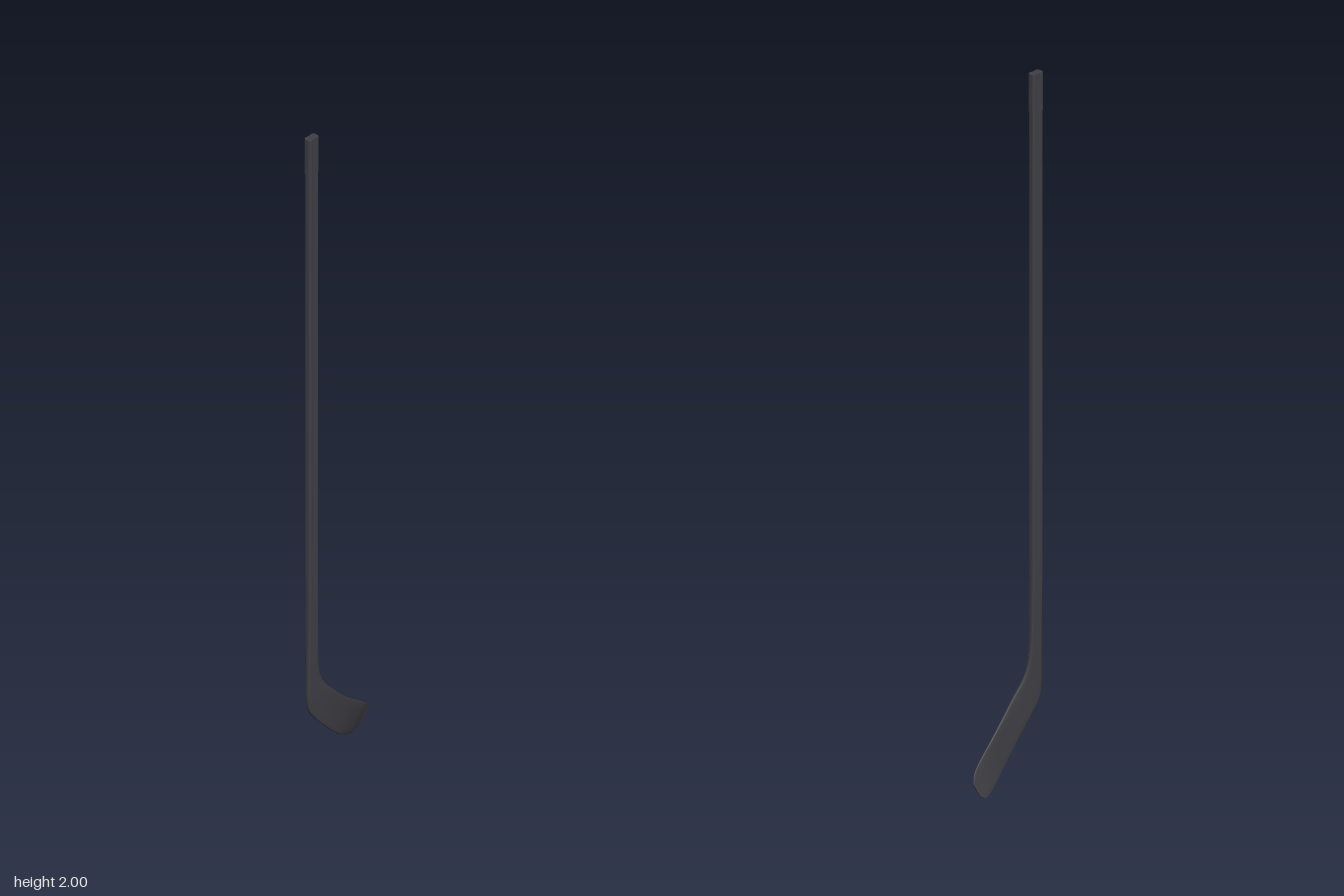
import * as THREE from 'three';

const V = (p) => new THREE.Vector3(...p);
const RING = 32;

// Rounded-rectangle ring spanning edge a to edge b, with a slight hollow along the wide faces
function ring(a, b, tangent, thick, hollow) {
  const across = a.clone().sub(b);
  const mid = a.clone().add(b).multiplyScalar(0.5);
  const normal = across.clone().cross(tangent).normalize();
  return Array.from({ length: RING }, (_, i) => {
    const q = (i / RING) * Math.PI * 2;
    const soft = (v) => 0.5 * Math.sign(v) * Math.abs(v) ** 0.45;
    const u = soft(Math.cos(q));
    const v = soft(Math.sin(q)) * (1 - hollow * Math.max(0, 1 - 9 * u * u));
    return mid.clone().addScaledVector(across, u).addScaledVector(normal, v * thick);
  });
}

// Skin a list of rings; both ends get their own flat cap
function skin(rings) {
  const pos = [], index = [];
  rings.forEach((r) => r.forEach((p) => pos.push(p.x, p.y, p.z)));
  for (let j = 0; j < rings.length - 1; j++) {
    for (let i = 0; i < RING; i++) {
      const a = j * RING + i, b = j * RING + ((i + 1) % RING);
      index.push(a, b, a + RING, b, b + RING, a + RING);
    }
  }
  [[rings[0], true], [rings[rings.length - 1], false]].forEach(([r, flip]) => {
    const start = pos.length / 3;
    const c = r.reduce((s, p) => s.add(p), new THREE.Vector3()).divideScalar(RING);
    [...r, c].forEach((p) => pos.push(p.x, p.y, p.z));
    for (let i = 0; i < RING; i++) {
      const a = start + i, b = start + ((i + 1) % RING);
      index.push(...(flip ? [b, a, start + RING] : [a, b, start + RING]));
    }
  });
  const geo = new THREE.BufferGeometry();
  geo.setAttribute('position', new THREE.Float32BufferAttribute(pos, 3));
  geo.setIndex(index);
  geo.computeVertexNormals();
  return geo;
}

export function createModel() {
  const group = new THREE.Group();
  const material = new THREE.MeshStandardMaterial({ color: 0x3f3f45, side: THREE.DoubleSide });
  const add = (name, geo) => {
    const mesh = new THREE.Mesh(geo, material);
    mesh.name = name;
    group.add(mesh);
  };
  const down = new THREE.Vector3(0, -1, 0);

  // Straight shaft and the slightly fuller grip at its top
  const straight = (w, t, ys) =>
    skin(ys.map((y) => ring(V([-0.126 + w / 2, y, 0.022]), V([-0.126 - w / 2, y, 0.022]), down, t, 0.12)));
  add('shaft', straight(0.036, 0.021, [1.9, 0.6]));
  add('grip', straight(0.038, 0.0235, [2, 1.89]));

  // Stations from shaft to toe: upper edge, lower edge, thickness
  const stations = [
    [[-0.108, 0.6, 0.022], [-0.144, 0.6, 0.022], 0.021],
    [[-0.107, 0.48, 0.022], [-0.144, 0.48, 0.022], 0.019],
    [[-0.104, 0.36, 0.022], [-0.144, 0.33, 0.022], 0.015],
    [[-0.097, 0.305, 0.022], [-0.144, 0.24, 0.022], 0.013],
    [[-0.08, 0.267, 0.023], [-0.137, 0.202, 0.021], 0.012],
    [[-0.042, 0.225, 0.022], [-0.113, 0.168, 0.02], 0.011],
    [[0, 0.183, 0.016], [-0.07, 0.12, 0.018], 0.01],
    [[0.05, 0.141, 0.006], [0, 0.055, 0.006], 0.009],
    [[0.09, 0.111, -0.003], [0.053, 0.02, -0.013], 0.008],
    [[0.115, 0.091, -0.009], [0.085, 0.006, -0.025], 0.007],
    [[0.133, 0.075, -0.016], [0.108, 0.003, -0.032], 0.006],
    [[0.141, 0.06, -0.021], [0.124, 0.013, -0.031], 0.005],
    [[0.143, 0.05, -0.023], [0.133, 0.027, -0.028], 0.004],
  ];
  const upper = new THREE.CatmullRomCurve3(stations.map((s) => V(s[0])));
  const lower = new THREE.CatmullRomCurve3(stations.map((s) => V(s[1])));
  const last = stations.length - 1, steps = last * 5;
  const rings = Array.from({ length: steps + 1 }, (_, k) => {
    const f = k / steps, s = f * last, i = Math.min(Math.floor(s), last - 1);
    const thick = THREE.MathUtils.lerp(stations[i][2], stations[i + 1][2], s - i);
    const tangent = upper.getTangent(f).add(lower.getTangent(f));
    return ring(upper.getPoint(f), lower.getPoint(f), tangent, thick, 0.12 * Math.max(0, 1 - s / 3));
  });
  add('blade', skin(rings));

  return group;
}
